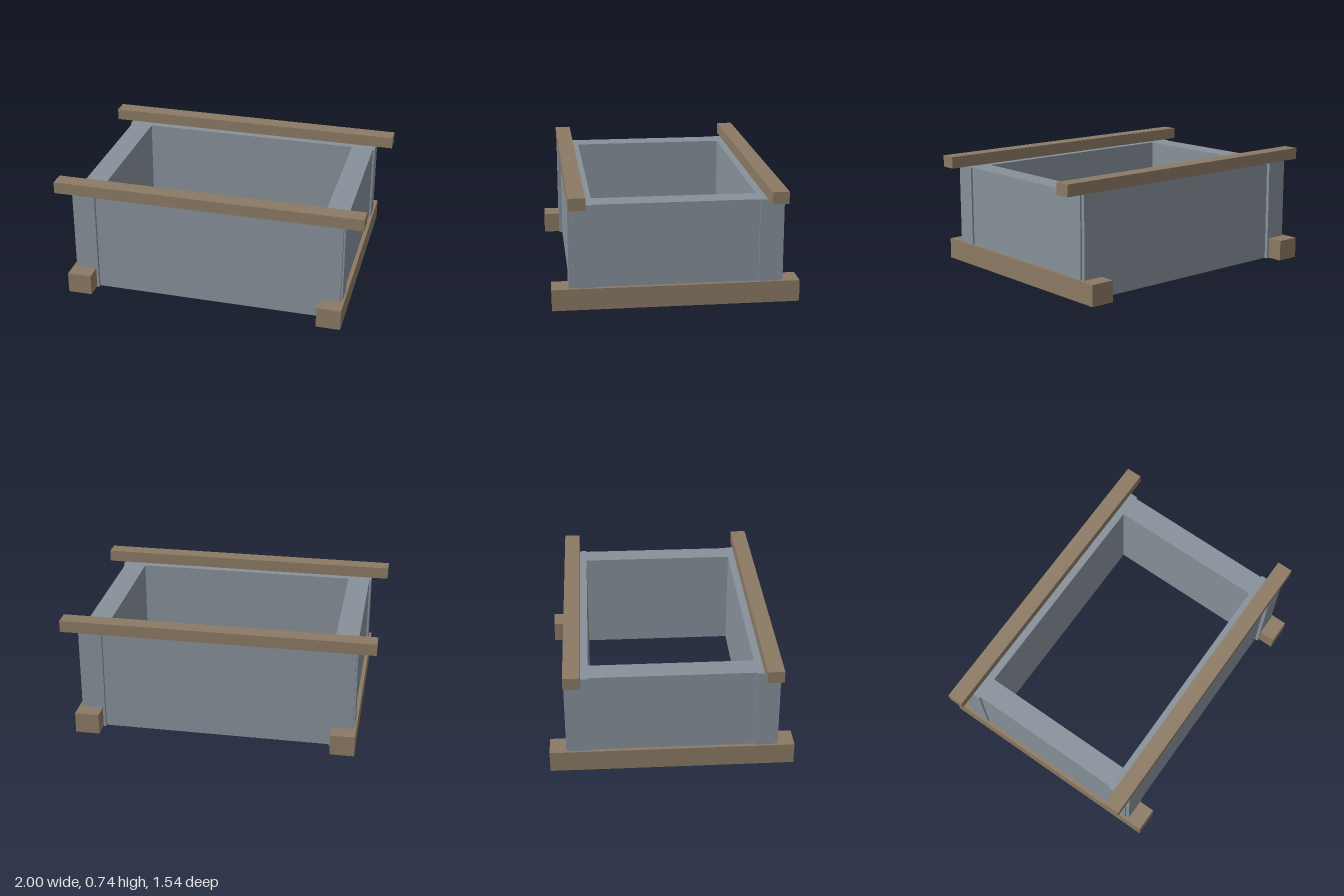
import * as THREE from 'three';

const HEIGHT = 0.663;

export function createModel() {
  const model = new THREE.Group();
  const stone = new THREE.MeshStandardMaterial({ name: 'blue grey stone', color: 0x87909a });
  const wood = new THREE.MeshStandardMaterial({ name: 'brown wood', color: 0x8b7a64 });

  // One quarter of the outline: recessed walls, raised and notched corner
  const corner = [[0.876, 0.512], [0.888, 0.512], [0.888, 0.64], [0.877, 0.64],
    [0.877, 0.664], [0.73, 0.664], [0.73, 0.642]];
  const flipped = [...corner].reverse();
  const outline = [
    ...corner,
    ...flipped.map(([x, z]) => [-x, z]),
    ...corner.map(([x, z]) => [-x, -z]),
    ...flipped.map(([x, z]) => [x, -z]),
  ].map(([x, z]) => new THREE.Vector2(x, z));
  const shape = new THREE.Shape(outline);

  // Open shaft through the middle
  const [hx, hz] = [0.73, 0.512];
  shape.holes.push(new THREE.Path([[-hx, -hz], [-hx, hz], [hx, hz], [hx, -hz]]
    .map(([x, z]) => new THREE.Vector2(x, z))));
  const wallGeometry = new THREE.ExtrudeGeometry(shape, { depth: HEIGHT, bevelEnabled: false });
  wallGeometry.rotateX(-Math.PI / 2);
  const walls = new THREE.Mesh(wallGeometry, stone);
  walls.name = 'walls';
  model.add(walls);

  const beam = (name, w, h, d, x, y, z) => {
    const mesh = new THREE.Mesh(new THREE.BoxGeometry(w, h, d), wood);
    mesh.name = name;
    mesh.position.set(x, y + h / 2, z);
    model.add(mesh);
  };

  // Skids run front to back, top rails run side to side
  for (const s of [1, -1]) {
    beam(s > 0 ? 'leftSkid' : 'rightSkid', 0.156, 0.136, 1.536, s * 0.823, 0.003, 0);
    beam(s > 0 ? 'frontRail' : 'backRail', 2, 0.076, 0.104, 0, HEIGHT, s * 0.612);
  }
  return model;
}
